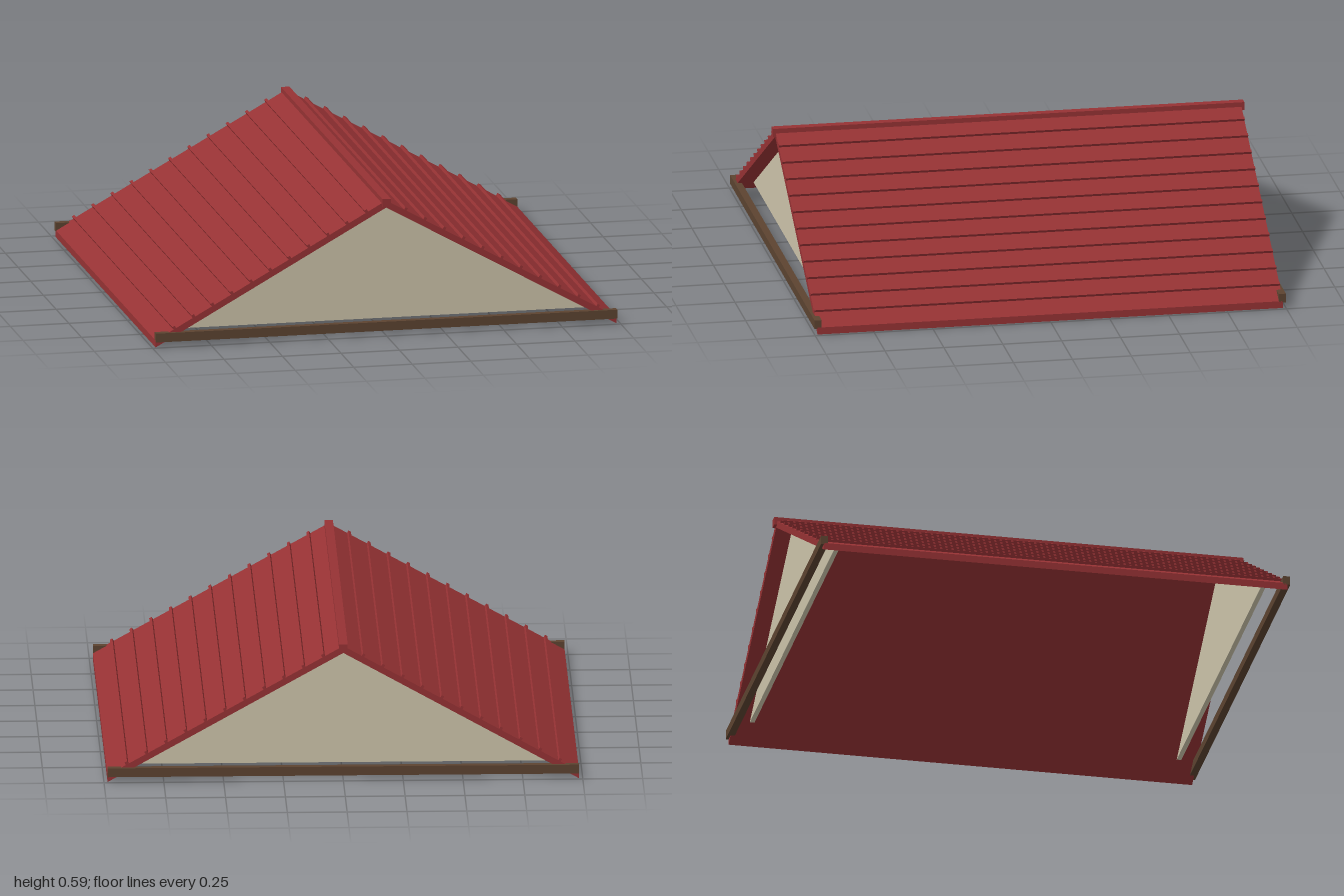
import * as THREE from 'three';

export function createModel() {
  const material = (name, color) => {
    const m = new THREE.MeshStandardMaterial({ color });
    m.name = name;
    return m;
  };
  const red = material('red metal', 0x963234);
  const cream = material('cream plaster', 0xcdc4aa);
  const brown = material('brown timber', 0x5c4330);

  const group = new THREE.Group();
  group.name = 'gableRoof';
  const half = 0.985, apex = 0.55, thick = 0.03, length = 1.976;
  const slope = apex / half, angle = Math.atan(slope);

  const add = (name, geometry, mat, x, y, z) => {
    const mesh = new THREE.Mesh(geometry, mat);
    mesh.name = name;
    mesh.position.set(x, y, z);
    group.add(mesh);
    return mesh;
  };
  // Extrude a polygon along z, centred on z = 0
  const prism = (points, depth) => new THREE.ExtrudeGeometry(
    new THREE.Shape(points.map(([x, y]) => new THREE.Vector2(x, y))),
    { depth, bevelEnabled: false }).translate(0, 0, -depth / 2);

  // Both slopes, with plumb-cut eaves, and their standing seams
  const ribGeometry = new THREE.BoxGeometry(0.012, 0.024, length);
  for (const side of [-1, 1]) {
    const label = side > 0 ? 'left' : 'right';
    add(label + 'RoofSlope', prism([
      [0, apex], [side * half, 0], [side * half, thick], [0, apex + thick],
    ], length), red, 0, 0, 0);
    for (let i = 1; i <= 11; i++) {
      const x = i * half / 12;
      const rib = add(label + 'Seam' + i, ribGeometry, red,
        side * x, apex + thick - slope * x, 0);
      rib.rotation.z = -side * angle;
    }
  }

  // Ridge cap
  add('ridgeCap', new THREE.BoxGeometry(0.036, 0.035, 2), red, 0, 0.5725, 0);

  // Recessed gable walls and the tie beams in front of them
  const base = 0.06, gableHalf = (apex - base) / slope;
  const gableGeometry = prism([[-gableHalf, base], [gableHalf, base], [0, apex]], 0.02);
  const beamGeometry = new THREE.BoxGeometry(2 * half, 0.038, 0.03);
  for (const end of [-1, 1]) {
    const label = end > 0 ? 'front' : 'back';
    add(label + 'Gable', gableGeometry, cream, 0, 0, end * 0.91);
    add(label + 'TieBeam', beamGeometry, brown, 0, 0.043, end * 0.985);
  }
  return group;
}
